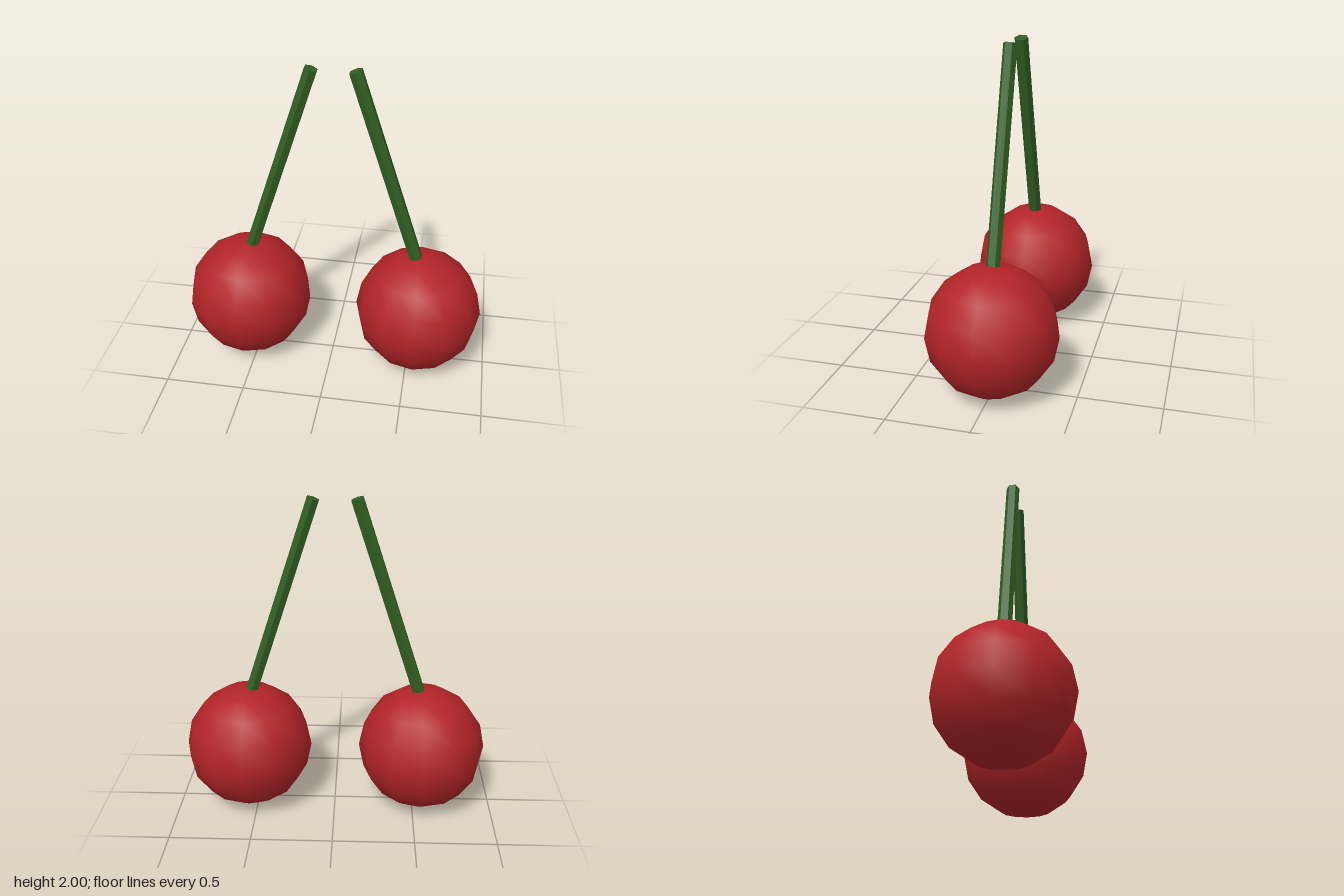
import * as THREE from 'three';

export function createModel() {
  const model = new THREE.Group();
  model.name = 'cherryPair';
  const red = new THREE.MeshStandardMaterial({ color: 0xb22428 });
  const green = new THREE.MeshStandardMaterial({ color: 0x315f22, flatShading: true });

  const fruitGeometry = new THREE.SphereGeometry(0.398, 12, 8);
  const up = new THREE.Vector3(0, 1, 0);

  for (const [side, s] of [['left', 1], ['right', -1]]) {
    // Round fruit
    const fruit = new THREE.Mesh(fruitGeometry, red);
    fruit.name = `${side}Fruit`;
    fruit.position.set(s * 0.551, 0.398, 0);

    // Six-sided stem leaning in towards the middle, its foot sunk into the fruit
    const foot = new THREE.Vector3(s * 0.53, 0.755, 0);
    const tip = new THREE.Vector3(s * 0.127, 1.988, 0);
    const axis = tip.clone().sub(foot);
    const stem = new THREE.Mesh(new THREE.CylinderGeometry(0.042, 0.042, axis.length(), 6), green);
    stem.name = `${side}Stem`;
    stem.position.copy(foot).add(tip).multiplyScalar(0.5);
    stem.quaternion.setFromUnitVectors(up, axis.normalize());

    model.add(fruit, stem);
  }
  return model;
}
